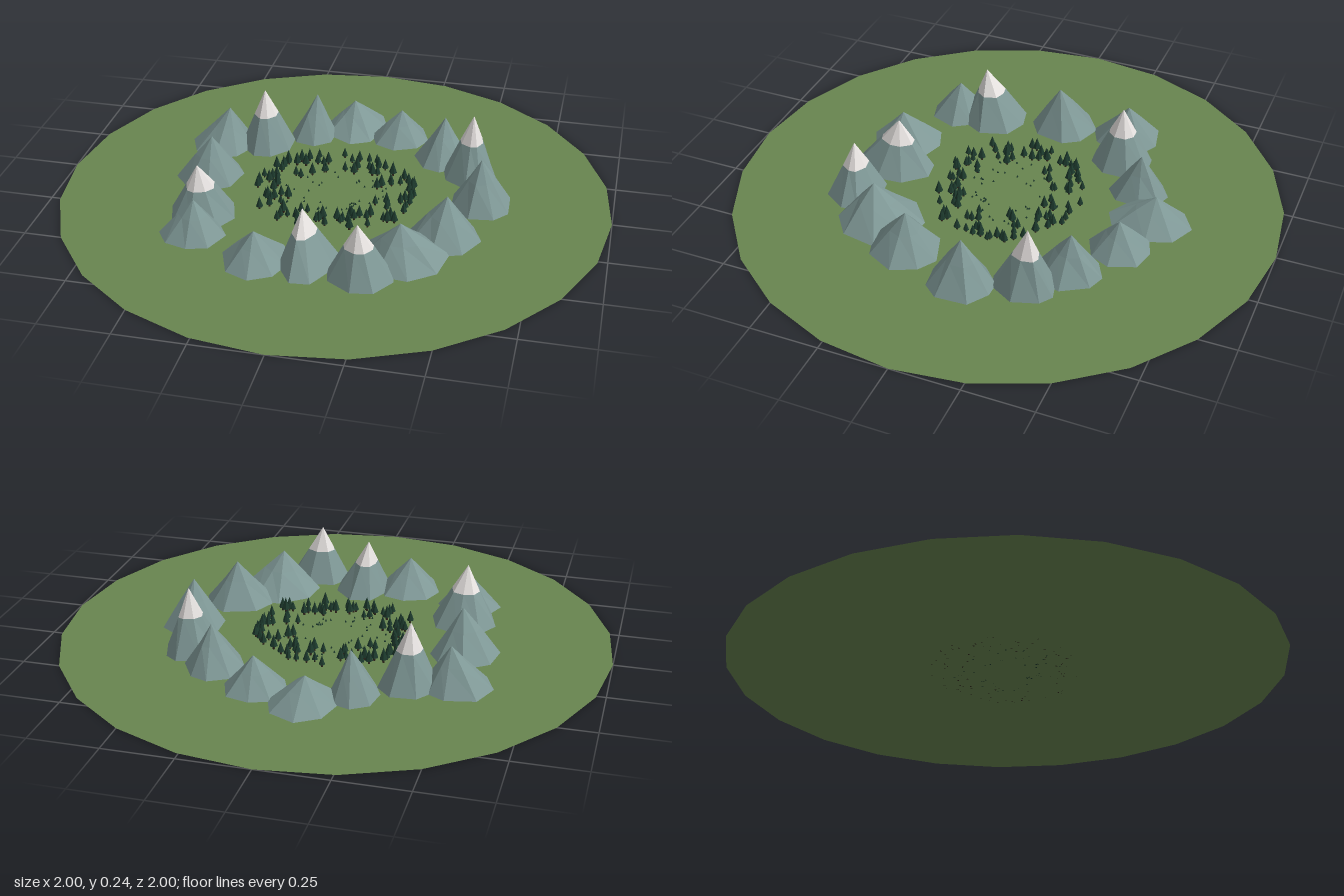
import * as THREE from 'three';

const material = (name, color, side = THREE.FrontSide) => {
  const m = new THREE.MeshStandardMaterial({ color, side, flatShading: true });
  m.name = name;
  return m;
};

// small seeded generator, 0..1
function makeRandom(seed) {
  return () => {
    seed = (seed * 16807) % 2147483647;
    return seed / 2147483647;
  };
}

// apex x, apex z, height, then the footprint: min x, max x, min z, max z
const PEAKS = [
  [-0.48, -0.30, 0.15, -0.625, -0.385, -0.42, -0.16],
  [-0.345, -0.32, 0.23, -0.445, -0.235, -0.445, -0.21],
  [-0.17, -0.45, 0.168, -0.27, -0.09, -0.55, -0.33],
  [-0.04, -0.55, 0.105, -0.15, 0.085, -0.69, -0.38],
  [0.16, -0.48, 0.12, 0.04, 0.27, -0.595, -0.37],
  [0.345, -0.37, 0.165, 0.23, 0.45, -0.48, -0.24],
  [0.465, -0.26, 0.24, 0.36, 0.56, -0.365, -0.13],
  [0.525, -0.045, 0.18, 0.415, 0.645, -0.165, 0.075],
  [0.44, 0.20, 0.16, 0.30, 0.565, 0.075, 0.34],
  [0.31, 0.385, 0.145, 0.165, 0.475, 0.20, 0.52],
  [0.19, 0.52, 0.205, 0.08, 0.32, 0.41, 0.615],
  [-0.015, 0.44, 0.195, -0.095, 0.105, 0.30, 0.605],
  [-0.17, 0.50, 0.12, -0.295, -0.05, 0.35, 0.615],
  [-0.42, 0.37, 0.135, -0.545, -0.305, 0.27, 0.48],
  [-0.435, 0.265, 0.212, -0.56, -0.31, 0.11, 0.36],
  [-0.47, -0.025, 0.17, -0.61, -0.36, -0.17, 0.09],
];

// faceted band between two rings of points; the top ring may be a single apex
function facetBand(lower, upper) {
  const pos = [];
  const n = lower.length;
  const add = (...pts) => pts.forEach((p) => pos.push(p.x, p.y, p.z));
  for (let i = 0; i < n; i++) {
    const j = (i + 1) % n;
    if (upper.length === 1) {
      add(lower[i], upper[0], lower[j]);
    } else {
      add(lower[i], upper[i], lower[j]);
      add(lower[j], upper[i], upper[j]);
    }
  }
  const g = new THREE.BufferGeometry();
  g.setAttribute('position', new THREE.Float32BufferAttribute(pos, 3));
  g.computeVertexNormals();
  return g;
}

function makeMountain([ax, az, h, x0, x1, z0, z1], rand, rock, snow) {
  const group = new THREE.Group();
  const sides = 8;
  const turn = rand() * Math.PI;
  const apex = new THREE.Vector3(ax, h, az);
  const base = [];
  const middle = [];
  for (let i = 0; i < sides; i++) {
    const a = turn - ((i + (rand() - 0.5) * 0.35) / sides) * Math.PI * 2;
    const r = 0.96 + rand() * 0.08;
    const p = new THREE.Vector3(
      (x0 + x1) / 2 + Math.cos(a) * r * (x1 - x0) / 2, 0,
      (z0 + z1) / 2 + Math.sin(a) * r * (z1 - z0) / 2);
    base.push(p);
    // shoulder ring, slightly pushed in and out
    const q = p.clone().lerp(apex, 0.57);
    const bulge = 0.92 + rand() * 0.16;
    q.x = ax + (q.x - ax) * bulge;
    q.z = az + (q.z - az) * bulge;
    middle.push(q);
  }
  // rings run clockwise from above, so bands are reversed to face outward
  base.reverse();
  middle.reverse();
  const order = (ring) => ring.slice().reverse();
  const slope = new THREE.Mesh(facetBand(order(base), order(middle)), rock);
  slope.name = 'mountainSlope';
  const peak = new THREE.Mesh(facetBand(order(middle), [apex]), h > 0.19 ? snow : rock);
  peak.name = h > 0.19 ? 'snowCap' : 'mountainPeak';
  group.add(slope, peak);
  return group;
}

export function createModel() {
  const model = new THREE.Group();
  model.name = 'mountainValley';
  const grass = material('grass green', 0x68854f, THREE.DoubleSide);
  const rock = material('grey rock', 0x7f9896, THREE.DoubleSide);
  const snow = material('snow white', 0xe6e2e0, THREE.DoubleSide);
  const needles = material('dark pine', 0x1d3a2d);
  const bark = material('dark bark', 0x33291f);

  // ground disc
  const ground = new THREE.Mesh(new THREE.CircleGeometry(1, 24).rotateX(-Math.PI / 2), grass);
  ground.name = 'ground';
  model.add(ground);

  // ring of mountains
  const rand = makeRandom(4711);
  const mountains = new THREE.Group();
  mountains.name = 'mountains';
  PEAKS.forEach((p, i) => {
    const m = makeMountain(p, rand, rock, snow);
    m.name = `mountain${i + 1}`;
    mountains.add(m);
  });
  model.add(mountains);

  // pine trees scattered in the valley
  const crownGeo = new THREE.ConeGeometry(0.0135, 0.04, 6).translate(0, 0.032, 0);
  const trunkGeo = new THREE.CylinderGeometry(0.004, 0.004, 0.014, 5).translate(0, 0.007, 0);
  const forest = new THREE.Group();
  forest.name = 'forest';
  for (let i = 0; i < 110; i++) {
    const a = i * 2.39996 + rand() * 0.5;
    const r = 0.14 + 0.16 * Math.sqrt(rand());
    const tree = new THREE.Group();
    tree.name = 'pineTree';
    const crown = new THREE.Mesh(crownGeo, needles);
    crown.name = 'crown';
    const trunk = new THREE.Mesh(trunkGeo, bark);
    trunk.name = 'trunk';
    tree.add(crown, trunk);
    tree.position.set(Math.cos(a) * r, 0, Math.sin(a) * r * 0.92);
    tree.rotation.y = rand() * 6;
    tree.scale.setScalar(0.75 + rand() * 0.4);
    forest.add(tree);
  }
  model.add(forest);

  // tiny shrubs near the clearing
  const shrubGeo = new THREE.ConeGeometry(0.004, 0.008, 5).translate(0, 0.004, 0);
  const shrubs = new THREE.Group();
  shrubs.name = 'shrubs';
  for (let i = 0; i < 45; i++) {
    const a = rand() * Math.PI * 2;
    const r = 0.08 + rand() * 0.12;
    const shrub = new THREE.Mesh(shrubGeo, needles);
    shrub.name = 'shrub';
    shrub.position.set(Math.cos(a) * r, 0, Math.sin(a) * r);
    shrubs.add(shrub);
  }
  model.add(shrubs);
  return model;
}
